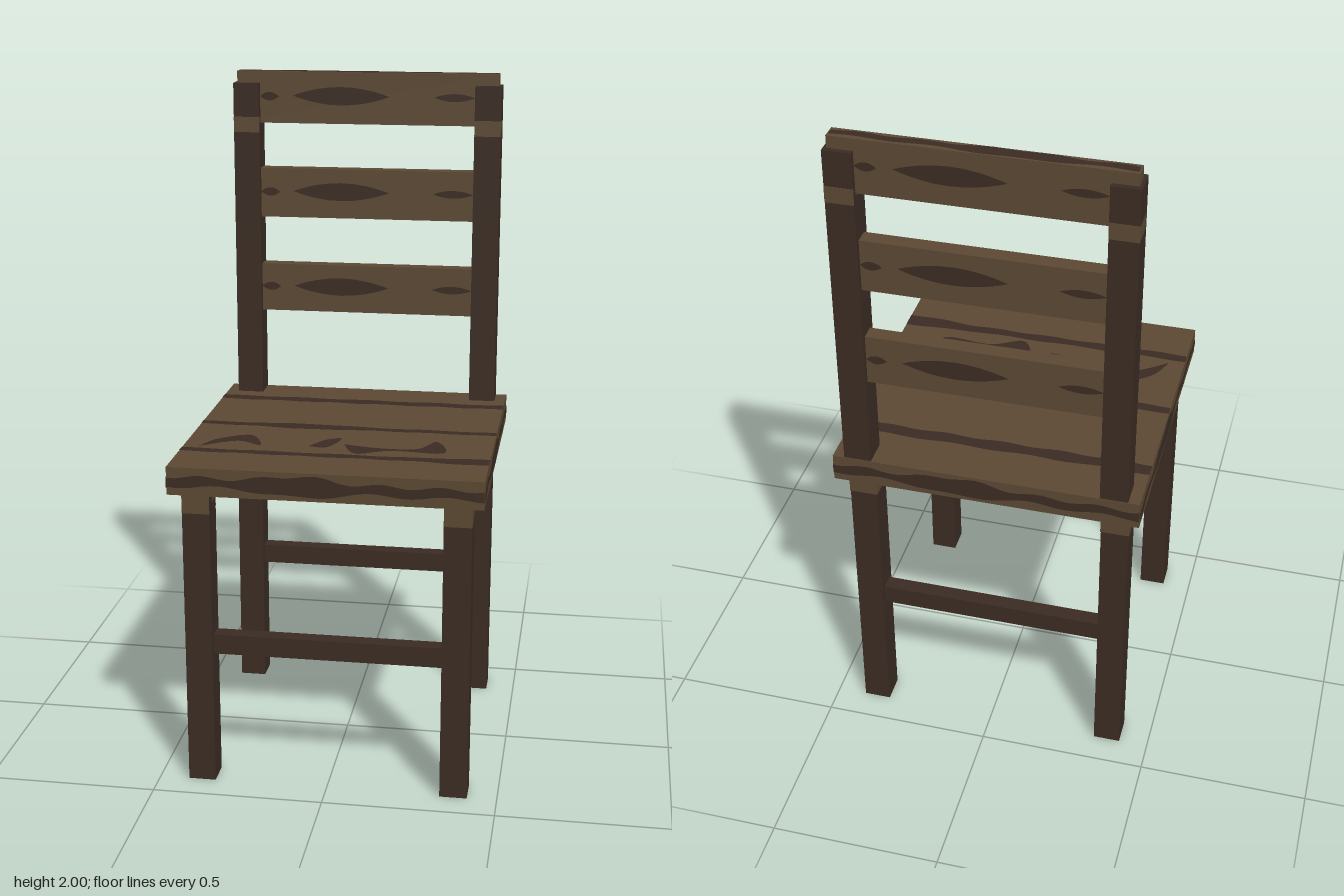
import * as THREE from 'three';

const wood = new THREE.MeshStandardMaterial({ color: 0x5c4933 });
wood.name = 'lightWood';
const dark = new THREE.MeshStandardMaterial({ color: 0x3b2c23, side: THREE.DoubleSide });
dark.name = 'darkWood';

// Box given by its extents on each axis
function box(parent, name, mat, [x0, x1], [y0, y1], [z0, z1]) {
  const mesh = new THREE.Mesh(new THREE.BoxGeometry(x1 - x0, y1 - y0, z1 - z0), mat);
  mesh.position.set((x0 + x1) / 2, (y0 + y1) / 2, (z0 + z1) / 2);
  mesh.name = name;
  parent.add(mesh);
}

// Wavy streak from u0 to u1 around v, with a bulge at u = centre
function streak(u0, u1, v, half, bulge = 0, centre = 0, width = 0.1, wave = 0.15) {
  const lower = [], upper = [];
  for (let i = 0; i <= 36; i++) {
    const u = u0 + (u1 - u0) * i / 36;
    const swell = bulge * Math.exp(-(((u - centre) / width) ** 2));
    lower.push(new THREE.Vector2(u, v - half * (1 + wave * Math.sin(u * 29 + 1)) - swell));
    upper.push(new THREE.Vector2(u, v + half * (1 + wave * Math.sin(u * 37 + 2)) + swell));
  }
  return new THREE.Shape([...lower, ...upper.reverse()]);
}

// Lens-shaped streak that tapers to a point at both ends
function lens(centre, v, length, half) {
  const points = [];
  for (let i = 0; i < 24; i++) {
    const a = i * Math.PI / 12;
    points.push(new THREE.Vector2(centre + Math.cos(a) * length / 2, v + half * Math.sin(a) * Math.abs(Math.sin(a))));
  }
  return new THREE.Shape(points);
}

// Rounded knot through a few points
function knot(points) {
  const curve = new THREE.SplineCurve([...points, points[0]].map(p => new THREE.Vector2(...p)));
  return new THREE.Shape(curve.getPoints(40));
}

function grain(parent, name, shapes, position, rx = 0, ry = 0) {
  const mesh = new THREE.Mesh(new THREE.ShapeGeometry(shapes), dark);
  mesh.name = name;
  mesh.position.set(...position);
  mesh.rotation.set(rx, ry, 0);
  parent.add(mesh);
}

const E = 0.0015; // lift of painted grain
const S = 0.447; // half seat width

// Streaks and knots across the seat, in x and z
const seatGrain = [
  streak(-S, S, -0.288, 0.021),
  streak(-S, S, 0.003, 0.015, 0.012, -0.12, 0.12),
  streak(-S, S, 0.279, 0.016, 0.012, 0.4, 0.1),
  knot([[-0.4, 0.245], [-0.36, 0.165], [-0.27, 0.115], [-0.225, 0.21], [-0.3, 0.178]]),
  knot([[-0.085, 0.2], [-0.045, 0.13], [0, 0.112], [-0.03, 0.2]]),
  knot([[0.015, 0.165], [0.12, 0.188], [0.23, 0.18], [0.28, 0.1], [0.31, 0.21], [0.16, 0.207], [0.06, 0.25]]),
];
const edgeGrain = streak(-S, S, 0, 0.014, 0.018, -0.07, 0.1, 0.4);
const slatGrain = [lens(-0.08, 0, 0.3, 0.028), lens(-0.303, -0.003, 0.06, 0.013), lens(0.27, 0, 0.125, 0.012)];
const slatTopGrain = streak(-0.4, 0.4, 0, 0.012, 0.009, -0.08, 0.12, 0.3);

export function createModel() {
  const chair = new THREE.Group();
  chair.name = 'chair';

  // Seat with grain on all six faces
  const seat = new THREE.Group();
  seat.name = 'seat';
  chair.add(seat);
  box(seat, 'seatBoard', wood, [-S, S], [0.9, 0.982], [-S, S]);
  grain(seat, 'seatTopGrain', seatGrain, [0, 0.982 + E, 0], Math.PI / 2);
  grain(seat, 'seatUndersideGrain', seatGrain, [0, 0.9 - E, 0], Math.PI / 2);
  for (let i = 0; i < 4; i++) {
    const a = i * Math.PI / 2;
    grain(seat, 'seatEdgeGrain', edgeGrain, [Math.sin(a) * (S + E), 0.941, Math.cos(a) * (S + E)], 0, a);
  }

  // Legs and back posts, each with a lighter band near the top
  for (const [side, x] of [['Left', [0.333, 0.413]], ['Right', [-0.413, -0.333]]]) {
    box(chair, 'front' + side + 'Leg', dark, x, [0, 0.9], [0.333, 0.413]);
    box(chair, 'front' + side + 'LegBand', wood, x, [0.835, 0.892], [0.333 - E, 0.413 + E]);
    box(chair, 'back' + side + 'Leg', dark, x, [0, 0.9], [-0.413, -0.333]);
    box(chair, 'back' + side + 'LegBand', wood, [x[0] - E, x[1] + E], [0.835, 0.892], [-0.413 - E, -0.333 + E]);
    box(chair, 'back' + side + 'Post', dark, x, [0.982, 1.965], [-0.445, -0.365]);
    box(chair, 'back' + side + 'PostBand', wood, x, [1.815, 1.862], [-0.445 - E, -0.365 + E]);
  }

  // Stretchers between the front legs and between the back legs
  for (const [name, z] of [['frontStretcher', 0.373], ['backStretcher', -0.373]]) {
    box(chair, name, dark, [-0.34, 0.34], [0.4, 0.46], [z - 0.023, z + 0.023]);
  }

  // Back slats, the top one rising above the posts
  [[1.25, 1.4, 0.373], [1.55, 1.703, 0.373], [1.843, 2, 0.404]].forEach(([y0, y1, w], i) => {
    const slat = new THREE.Group();
    slat.name = ['lowerSlat', 'middleSlat', 'topSlat'][i];
    chair.add(slat);
    box(slat, 'slatBoard', wood, [-w, w], [y0, y1], [-0.43, -0.384]);
    const y = (y0 + y1) / 2 + 0.006;
    grain(slat, 'slatFrontGrain', slatGrain, [0, y, -0.384 + E]);
    grain(slat, 'slatBackGrain', slatGrain, [0, y, -0.43 - E], 0, Math.PI);
  });
  grain(chair, 'topSlatUpperGrain', slatTopGrain, [0, 2 + E / 2, -0.407], Math.PI / 2);

  return chair;
}
